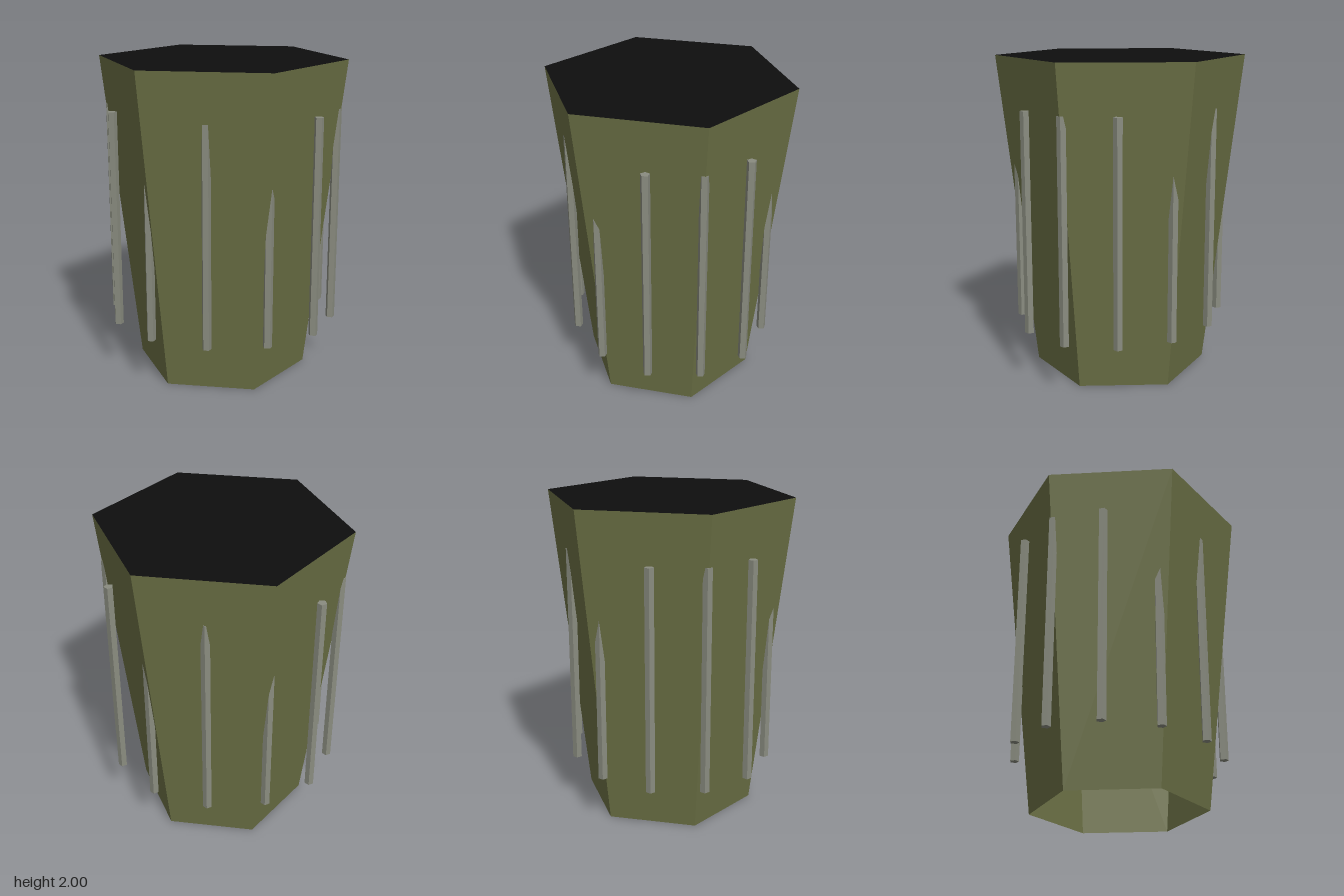
import * as THREE from 'three';

const HEIGHT = 2;
const TOP_RADIUS = 0.777;
const BOTTOM_RADIUS = 0.547;

export function createModel() {
  const model = new THREE.Group();
  model.name = 'ribbedHexagonalDrum';

  const olive = new THREE.MeshStandardMaterial({ color: 0x6b7045, flatShading: true, side: THREE.DoubleSide });
  olive.name = 'olive';
  const grey = new THREE.MeshStandardMaterial({ color: 0x8a8c80, flatShading: true });
  grey.name = 'grey';
  const black = new THREE.MeshStandardMaterial({ color: 0x0e0e0e, flatShading: true, side: THREE.DoubleSide });
  black.name = 'black';

  const add = (name, geometry, material, x, y, z) => {
    const mesh = new THREE.Mesh(geometry, material);
    mesh.name = name;
    mesh.position.set(x, y, z);
    model.add(mesh);
  };

  // Tapered six-sided shell, open underneath, with corners on the x axis
  const shell = new THREE.CylinderGeometry(TOP_RADIUS, BOTTOM_RADIUS, HEIGHT, 6, 1, true);
  shell.rotateY(Math.PI / 6);
  add('shell', shell, olive, 0, HEIGHT / 2, 0);

  // Flat lid closing the top
  const lid = new THREE.CircleGeometry(TOP_RADIUS, 6);
  lid.rotateX(-Math.PI / 2);
  add('lid', lid, black, 0, HEIGHT, 0);

  // Twelve upright five-sided rods on an oval, all with a flat side to the front
  const rod = new THREE.CylinderGeometry(0.029, 0.029, 1.375, 5);
  rod.rotateY(Math.PI);
  for (let i = 0; i < 12; i++) {
    const a = (i * Math.PI) / 6;
    add(`rod${i + 1}`, rod, grey, 0.718 * Math.cos(a), 1.0125, 0.62 * Math.sin(a));
  }

  return model;
}
